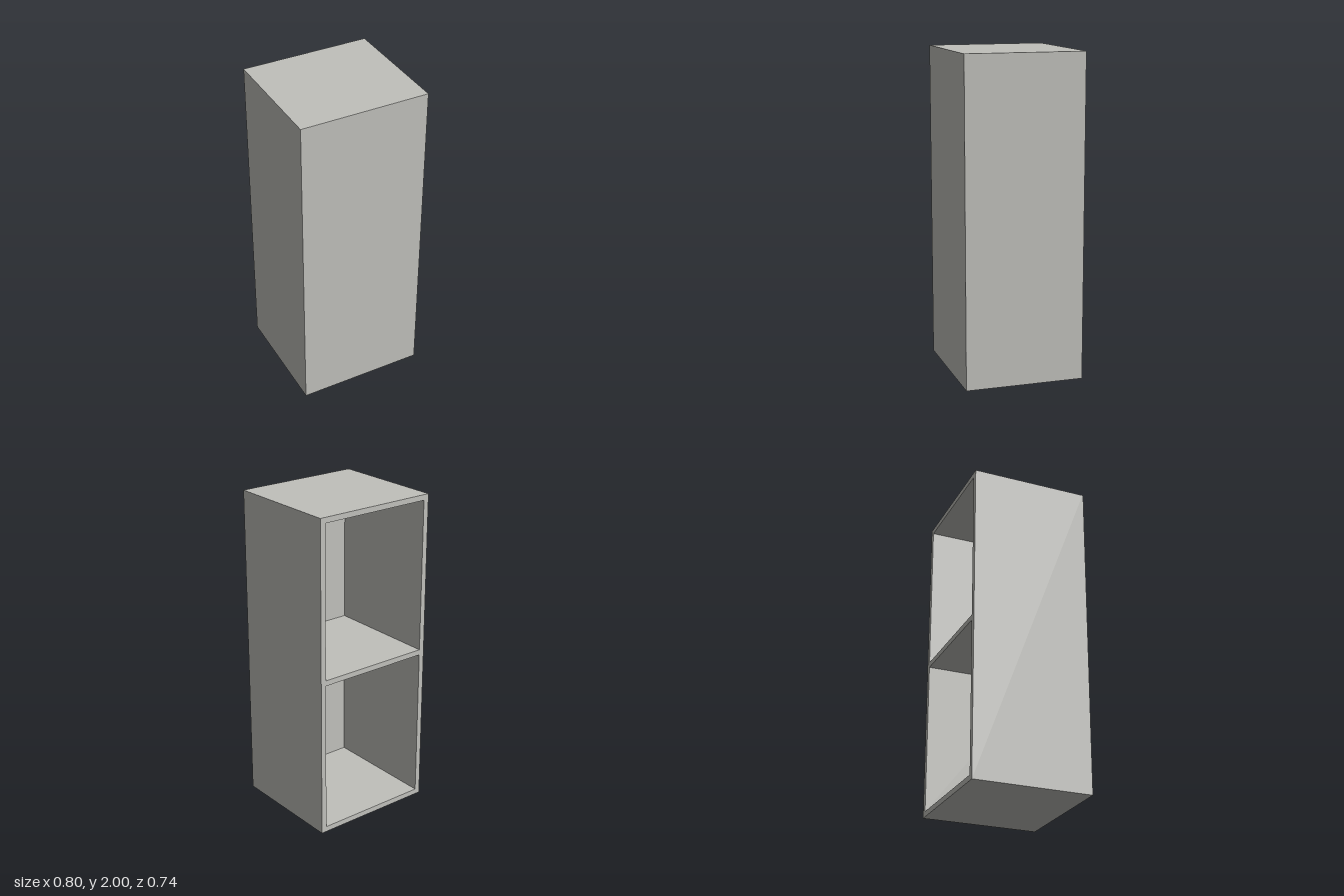
import * as THREE from 'three';

export function createModel() {
  const group = new THREE.Group();
  group.name = 'cabinet';
  const paintedBoard = new THREE.MeshStandardMaterial({ color: 0xc0c0bb });
  paintedBoard.name = 'paintedBoard';

  const W = 0.8, H = 2, D = 0.738; // outer size
  const T = 0.034; // board thickness
  const F = 0.005; // thin front panel

  // Carcass: frame with two compartments, open at the back
  const rect = (P, x0, y0, x1, y1) => {
    const p = new P();
    p.moveTo(x0, y0);
    p.lineTo(x1, y0);
    p.lineTo(x1, y1);
    p.lineTo(x0, y1);
    p.closePath();
    return p;
  };
  const outline = rect(THREE.Shape, -W / 2, 0, W / 2, H);
  const bay = (H - 3 * T) / 2;
  for (let i = 0; i < 2; i++) {
    const y = T + i * (bay + T);
    outline.holes.push(rect(THREE.Path, -W / 2 + T, y, W / 2 - T, y + bay));
  }
  const frame = new THREE.Mesh(
    new THREE.ExtrudeGeometry(outline, { depth: D - F, bevelEnabled: false }),
    paintedBoard
  );
  frame.name = 'carcassWithShelf';
  frame.position.z = -D / 2;
  group.add(frame);

  // Plain panel closing the front
  const panel = new THREE.Mesh(new THREE.BoxGeometry(W, H, F), paintedBoard);
  panel.name = 'frontPanel';
  panel.position.set(0, H / 2, D / 2 - F / 2);
  group.add(panel);

  return group;
}
